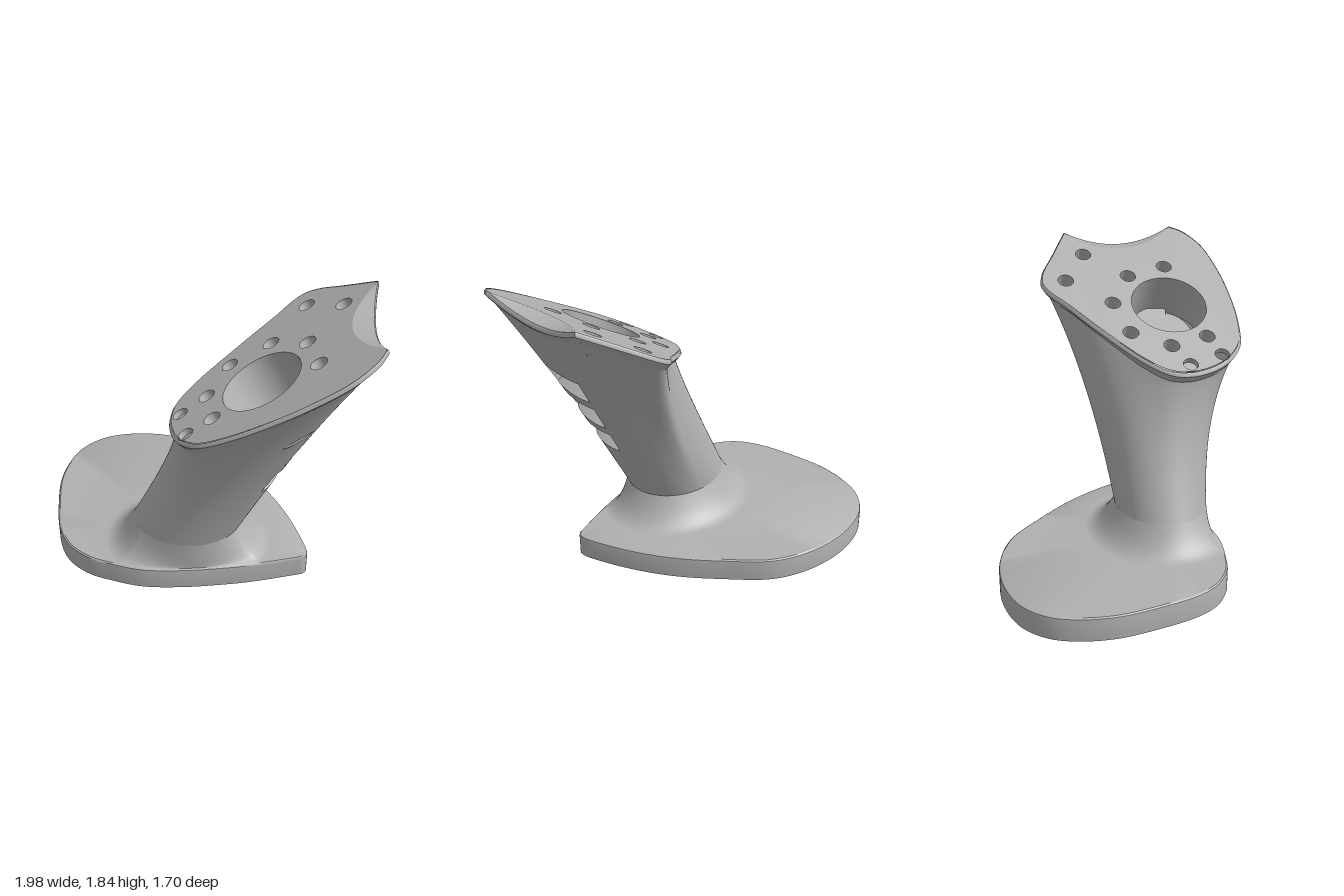
import * as THREE from 'three';
import { toCreasedNormals } from 'three/addons/utils/BufferGeometryUtils.js';

const V3 = (x, y, z) => new THREE.Vector3(x, y, z);
const lerp = THREE.MathUtils.lerp;
const spline = (pts, closed) =>
  new THREE.CatmullRomCurve3(pts.map(([x, z]) => V3(x, 0, z)), closed, 'centripetal');

// Sloped top plane, and the shallow trough cut into its high end
const SLOPE = 0.553, TILT = Math.atan(SLOPE);
const planeY = x => 1.2 + (x + 0.17) * SLOPE;
const troughY = z => 1.746 + 0.09 * ((z - 0.25) / 0.37) ** 2;
const topY = (x, z) => (z > -0.121 && z < 0.621 ? Math.min(planeY(x), troughY(z)) : planeY(x));

// Column foot ellipse
const FOOT = { x: -0.085, z: 0.235, rx: 0.335, rz: 0.285, y: 0.33 };
const CENTRE = V3(0.42, 0, 0.28);

const headCurve = spline([[0.98, 0.62], [0.93, 0.7], [0.8, 0.79], [0.6, 0.835], [0.42, 0.845],
  [0.2, 0.83], [0.02, 0.78], [-0.07, 0.7], [-0.12, 0.62], [-0.155, 0.52], [-0.17, 0.4],
  [-0.15, 0.28], [-0.05, 0.14], [0.2, -0.08], [0.42, -0.25], [0.5, -0.32], [0.57, -0.355],
  [0.65, -0.34], [0.8, -0.24], [0.98, -0.12]], false);

// Head outline: s = 0 is the middle of the notch, corners lie at 0.1 and -0.1
function outline(s) {
  s -= Math.floor(s);
  if (s > 0.1 && s < 0.9) return headCurve.getPointAt((s - 0.1) / 0.8);
  const t = (s > 0.5 ? s - 1 : s) / 0.1;
  return V3(0.95 + 0.03 * t * t, 0, 0.25 + 0.37 * t);
}

function rimPoint(s, inset, drop) {
  const p = outline(s), y = topY(p.x, p.z) - drop;
  p.add(CENTRE.clone().sub(p).setLength(inset));
  p.y = y;
  return p;
}

// Column surface: a quadratic curve from the foot ellipse up to the rim
function columnPoint(s, f) {
  const o = outline(s), top = rimPoint(s, 0.04, 0.07);
  const a = Math.atan2((o.z - CENTRE.z) / 0.55, (o.x - CENTRE.x) / 0.57);
  const foot = V3(FOOT.x + FOOT.rx * Math.cos(a), FOOT.y, FOOT.z + FOOT.rz * Math.sin(a));
  const h = top.y - foot.y;
  const mid = V3(foot.x + 0.6 * h * 0.507, foot.y + 0.6 * h, lerp(foot.z, top.z, 0.25));
  const v = (1.2 - Math.sqrt(1.44 - 0.8 * f)) / 0.4;
  return foot.multiplyScalar((1 - v) ** 2).addScaledVector(mid, 2 * v * (1 - v)).addScaledVector(top, v * v);
}

// Surface through rows of points, skipping cells when asked
function loft(rows, crease = 0.6, skip = () => false) {
  const n = rows[0].length, index = [];
  for (let j = 0; j < rows.length - 1; j++) {
    for (let k = 0; k < n - 1; k++) {
      if (skip(j, k)) continue;
      const a = j * n + k, b = a + n;
      index.push(a, b, a + 1, a + 1, b, b + 1);
    }
  }
  const g = new THREE.BufferGeometry().setFromPoints(rows.flat());
  g.setIndex(index);
  return toCreasedNormals(g, crease);
}

export function createModel() {
  const group = new THREE.Group();
  const grey = new THREE.MeshStandardMaterial({ color: 0xb0b0b0, side: THREE.DoubleSide });
  grey.name = 'grey';
  const add = (name, geometry) => {
    const m = new THREE.Mesh(geometry, grey);
    m.name = name;
    group.add(m);
    return m;
  };

  // Base slab with a concave fillet rising to the column
  const baseCurve = spline([[-1, -0.3], [-0.97, -0.5], [-0.9, -0.66], [-0.75, -0.79], [-0.5, -0.85],
    [-0.22, -0.82], [0.02, -0.71], [0.24, -0.48], [0.42, -0.25], [0.55, -0.02], [0.65, 0.23],
    [0.67, 0.31], [0.66, 0.36], [0.58, 0.39], [0.3, 0.47], [0.1, 0.51], [-0.1, 0.54],
    [-0.35, 0.55], [-0.55, 0.51], [-0.7, 0.46], [-0.84, 0.35], [-0.92, 0.2], [-0.975, -0.05]], true);
  const baseRing = baseCurve.getSpacedPoints(180);
  const baseRow = fn => baseRing.map(p => {
    const dx = p.x - FOOT.x, dz = p.z - FOOT.z, R = Math.hypot(dx, dz);
    const r0 = 1 / Math.hypot(dx / R / FOOT.rx, dz / R / FOOT.rz);
    const [r, y] = fn(R, Math.min(r0, R - 0.004));
    return V3(FOOT.x + dx / R * r, y, FOOT.z + dz / R * r);
  });
  const baseRows = [baseRow(() => [0, 0]), baseRow(R => [R, 0]), baseRow(R => [R, 0.125]),
    baseRow(R => [R - 0.004, 0.138]), baseRow((R, r0) => [Math.max(r0, R - 0.015), 0.145])];
  for (let i = 0; i <= 8; i++) {
    const t = 1 - i / 8;
    baseRows.push(baseRow((R, r0) =>
      [r0 + Math.min(0.19, Math.max(0, R - 0.015 - r0)) * t, 0.145 + 0.185 * (1 - t) ** 2]));
  }
  add('base', loft(baseRows));

  // Column grid: the first K columns span the width of the side slots
  const N = 170, K = 24, rowY = [0.33, 0.45, 0.6, 0.75, 0.825, 0.9, 0.96, 1.04, 1.12, 1.18, 1.255, 1.33];
  const last = rowY.length - 1, slots = [[3, 5], [6, 8], [9, 11]], upper = 10;
  const rowF = (s, j, w) => {
    const y = rowY[j] - FOOT.y;
    return lerp(y / 1.346, y / (rimPoint(s, 0.04, 0.07).y - FOOT.y), w);
  };
  const findS = (z, j) => {
    let a = -0.12, b = 0.24;
    for (let i = 0; i < 24; i++) {
      const m = (a + b) / 2;
      if (columnPoint(m, rowF(m, j, 1)).z < z) a = m; else b = m;
    }
    return a;
  };
  const makeRow = (sa, sb, fn) => Array.from({ length: N + 1 }, (_, k) => {
    const s = k <= K ? lerp(sa, sb, k / K) : lerp(sb, sa + 1, (k - K) / (N - K));
    const w = Math.max(0, 1 - Math.max(0, Math.min(k - K, N - k)) / 24);
    return fn(s, k <= K ? 1 : w);
  });
  const rows = [];
  let sa, sb;
  for (let j = 0; j <= last; j++) {
    sa = findS(0.17, Math.max(j, 3));
    sb = findS(0.5, Math.max(j, 3));
    rows.push(makeRow(sa, sb, (s, w) => columnPoint(s, rowF(s, j, w))));
  }
  for (let i = 1; i <= upper; i++) {
    const t = i / upper;
    rows.push(makeRow(lerp(sa, -0.1, t), lerp(sb, 0.1, t),
      (s, w) => columnPoint(s, lerp(Math.min(1, rowF(s, last, w)), 1, t))));
  }
  for (const [inset, drop] of [[0.015, 0.045], [0, 0.025], [0.003, 0.01], [0.012, 0]])
    rows.push(makeRow(-0.1, 0.1, s => rimPoint(s, inset, drop)));
  add('column', loft(rows, 0.7, (j, k) => k < K && slots.some(([a, b]) => j >= a && j < b)));

  // Side slots: flat-bottomed pockets that run out of the curved wall
  const sink = p => {
    const gap = (0.25 + (p.y - 0.33) * 0.507 - p.x) * 0.892;
    const d = Math.max(0, 0.085 - gap);
    return V3(p.x - 0.892 * d, p.y + 0.452 * d, p.z);
  };
  slots.forEach(([a, b]) => {
    const patch = [];
    for (let j = a - 1; j <= b + 1; j++) {
      const line = [];
      for (let k = -1; k <= K + 1; k++) {
        const jj = Math.min(b, Math.max(a, j)), kk = Math.min(K, Math.max(0, k));
        const p = rows[jj][kk];
        line.push(jj === j && kk === k ? sink(p) : p.clone());
      }
      patch.push(line);
    }
    add('sideSlot', loft(patch, 0.5));
  });

  // Top face with its holes, and the trough beside it
  const rim = rows[rows.length - 1];
  const zA = rim[K].z, zB = rim[0].z;
  const edge = rim.slice(0, K + 1).map((p, k) => {
    const z = lerp(zB, zA, k / K);
    const x = Math.min(0.965, (troughY(z) - 1.2) / SLOPE - 0.17);
    return V3(x, planeY(x), z);
  });
  add('trough', loft([edge, rim.slice(0, K + 1)]));

  const face = new THREE.Shape([...rim.slice(K, N), ...edge].map(p => new THREE.Vector2(p.x, p.z)));
  const holes = [[0.34, 0.415, 0.24, 0.31], [0.585, -0.195, 0.05, 0.1], [0.785, -0.03, 0.05, 0.1],
    [0.385, 0.06, 0.05, 0.1], [0.155, 0.11, 0.05, 0.1], [0.585, 0.215, 0.05, 0.1],
    [0.035, 0.335, 0.05, 0.1], [0.64, 0.475, 0.05, 0.1], [0.08, 0.58, 0.05, 0.1],
    [-0.108, 0.41, 0.046, 0.035], [-0.06, 0.63, 0.046, 0.035]];
  holes.forEach(([x, z, r, depth], i) => {
    const path = new THREE.Path();
    path.absellipse(x, z, r * Math.cos(TILT), r, 0, Math.PI * 2, true);
    face.holes.push(path);
    const hole = new THREE.Group();
    hole.name = i ? 'boltHole' : 'mainBore';
    const wall = new THREE.Mesh(new THREE.CylinderGeometry(r, r, depth, 48, 1, true), grey);
    wall.position.y = -depth / 2;
    hole.add(wall);
    if (i < holes.length - 1) {
      const floor = new THREE.Mesh(new THREE.CircleGeometry(r, 48), grey);
      floor.rotation.x = -Math.PI / 2;
      floor.position.y = -depth;
      hole.add(floor);
    }
    hole.position.set(x, planeY(x), z);
    hole.rotation.z = TILT;
    group.add(hole);
  });
  const top = new THREE.ShapeGeometry(face, 24), pos = top.attributes.position;
  for (let i = 0; i < pos.count; i++) pos.setXYZ(i, pos.getX(i), planeY(pos.getX(i)), pos.getY(i));
  top.computeVertexNormals();
  add('topFace', top);

  return group;
}
